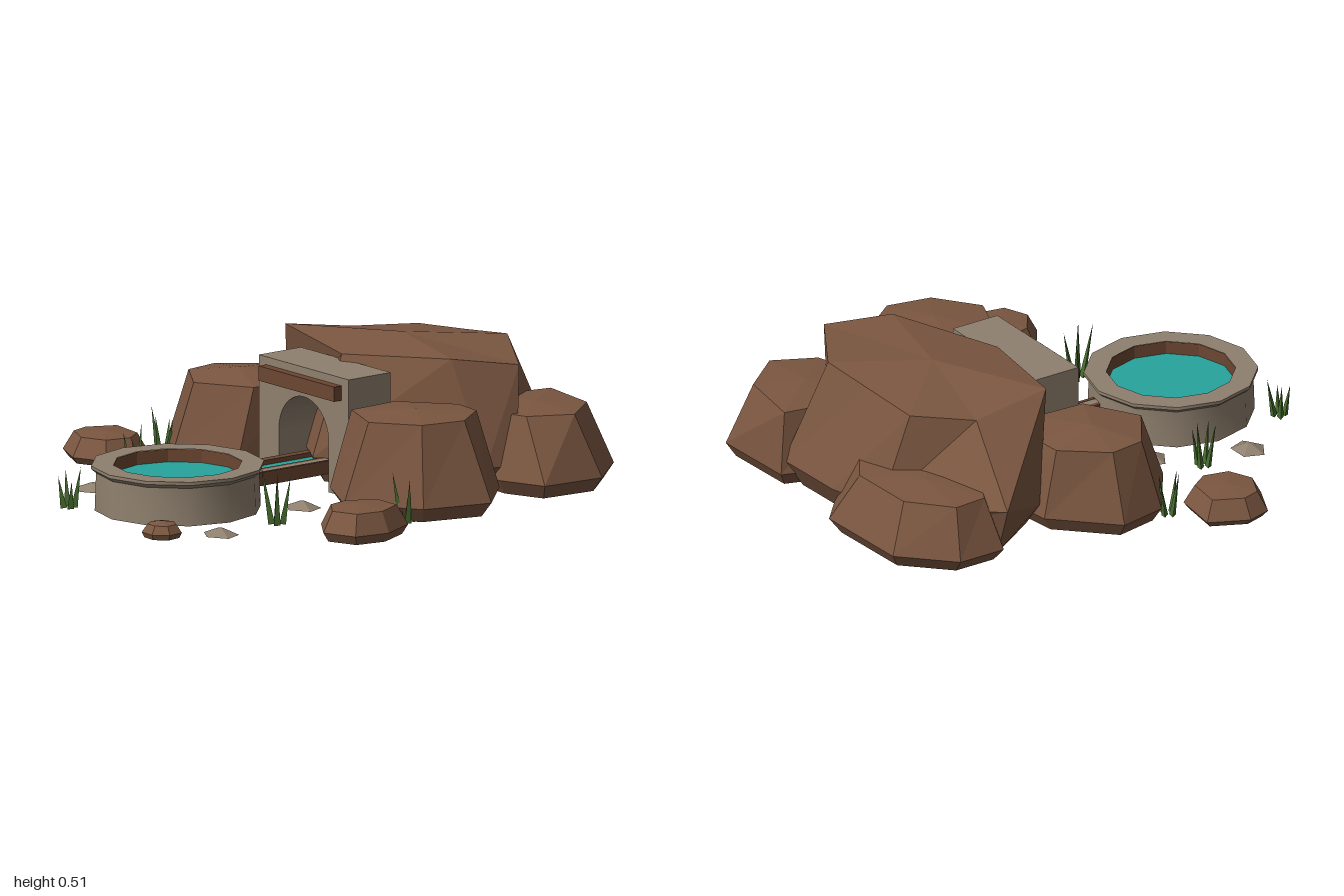
import * as THREE from 'three';
import { toCreasedNormals } from 'three/addons/utils/BufferGeometryUtils.js';

const mat = (name, color, flatShading = true, side = THREE.DoubleSide) =>
  Object.assign(new THREE.MeshStandardMaterial({ color, flatShading, side }), { name });

export function createModel() {
  const model = new THREE.Group();
  model.name = 'rockSpring';
  const rockBrown = mat('rockBrown', 0x7a5640);
  const stoneGrey = mat('stoneGrey', 0x8f806e, false);
  const woodBrown = mat('woodBrown', 0x6c4631);
  const waterTeal = mat('waterTeal', 0x27a49d, true, THREE.FrontSide);
  const grassGreen = mat('grassGreen', 0x466c2e);

  const add = (name, geo, material, x = 0, y = 0, z = 0, parent = model) => {
    const m = new THREE.Mesh(geo, material);
    m.name = name;
    m.position.set(x, y, z);
    parent.add(m);
    return m;
  };
  const box = (name, material, w, h, d, x, y, z) =>
    add(name, new THREE.BoxGeometry(w, h, d), material, x, y, z);

  // Faceted boulder shell, open below: tucked-in foot, wide ring, top ring, low peak.
  // Ring points are [x, z] or [x, z, y], running from +x towards +z.
  function boulder(name, wide, top, yWide, yTop, peak, tuck = 0.87) {
    const [cx, cz] = peak;
    const n = wide.length;
    const rings = [
      wide.map(([x, z]) => [cx + (x - cx) * tuck, 0, cz + (z - cz) * tuck]),
      wide.map(([x, z, y = yWide]) => [x, y, z]),
      top.map(([x, z, y = yTop]) => [x, y, z]),
    ];
    const p = [];
    const tri = (...c) => c.forEach((v) => p.push(...v));
    for (let i = 0; i < n; i++) {
      const j = (i + 1) % n;
      for (let r = 0; r < 2; r++) {
        const a = rings[r], b = rings[r + 1];
        tri(a[i], b[i], a[j]);
        tri(a[j], b[i], b[j]);
      }
      tri(rings[2][i], [cx, peak[2], cz], rings[2][j]);
    }
    const g = new THREE.BufferGeometry();
    g.setAttribute('position', new THREE.Float32BufferAttribute(p, 3));
    g.computeVertexNormals();
    return add(name, g, rockBrown);
  }
  // Top ring drawn in from the wide ring
  const inset = (ring, [cx, cz], k) => ring.map(([x, z]) => [cx + (x - cx) * k, cz + (z - cz) * k]);

  // Large boulder behind the arch
  boulder('mainBoulder',
    [[0.59, -0.53], [0.56, -0.41], [0.02, -0.035], [-0.53, -0.36], [-0.69, -0.61, 0.2], [-0.22, -0.85], [0, -0.91], [0.3, -0.92]],
    [[0.54, -0.58, 0.46], [0.42, -0.36], [0.02, -0.17, 0.465], [-0.41, -0.25], [-0.4, -0.55, 0.44], [-0.25, -0.74, 0.45], [0, -0.76, 0.47], [0.22, -0.78]],
    0.1, 0.49, [0, -0.47, 0.503], 0.87);

  // Flanking boulders
  boulder('frontLeftBoulder',
    [[0.855, -0.2], [0.785, 0.06], [0.535, 0.23], [0.29, 0.1], [0.28, -0.18], [0.54, -0.4], [0.67, -0.385]],
    [[0.735, -0.17], [0.7, 0.0], [0.54, 0.12], [0.34, 0.04], [0.33, -0.17], [0.51, -0.32], [0.63, -0.31]],
    0.055, 0.345, [0.54, -0.1, 0.365]);
  boulder('frontRightBoulder',
    [[-0.26, -0.18], [-0.27, 0.08], [-0.49, 0.21], [-0.73, 0.04], [-0.77, -0.15], [-0.56, -0.36], [-0.4, -0.38]],
    [[-0.27, -0.2], [-0.28, 0.0], [-0.48, 0.12], [-0.66, 0.0], [-0.68, -0.14], [-0.55, -0.3], [-0.41, -0.31]],
    0.055, 0.31, [-0.49, -0.1, 0.335]);
  boulder('backLeftBoulder',
    [[0.765, -0.52], [0.59, -0.45], [0.35, -0.47], [0.2, -0.7], [0.28, -0.945], [0.615, -0.96], [0.785, -0.77]],
    [[0.62, -0.55], [0.56, -0.53], [0.38, -0.53], [0.27, -0.7], [0.31, -0.91], [0.57, -0.87], [0.7, -0.71]],
    0.055, 0.285, [0.48, -0.7, 0.3]);
  boulder('backRightBoulder',
    [[0, -0.9], [-0.12, -0.55], [-0.4, -0.48], [-0.68, -0.62], [-0.68, -0.81], [-0.5, -0.985], [-0.11, -1]],
    [[-0.07, -0.84], [-0.17, -0.6], [-0.4, -0.55], [-0.6, -0.65], [-0.61, -0.78], [-0.46, -0.91], [-0.19, -0.92]],
    0.05, 0.235, [-0.38, -0.76, 0.25]);

  // Small boulders around the pool
  const smallRight = [[-0.615, 0.265], [-0.645, 0.395], [-0.77, 0.45], [-0.91, 0.385], [-0.94, 0.29], [-0.87, 0.145], [-0.68, 0.17]];
  boulder('smallRightBoulder', smallRight, inset(smallRight, [-0.77, 0.3], 0.74), 0.025, 0.095, [-0.77, 0.3, 0.105]);
  const smallLeft = [[0.935, 0.34], [0.91, 0.475], [0.785, 0.525], [0.665, 0.44], [0.64, 0.33], [0.715, 0.195], [0.865, 0.195]];
  boulder('smallLeftBoulder', smallLeft, inset(smallLeft, [0.785, 0.35], 0.76), 0.035, 0.11, [0.785, 0.35, 0.12]);
  const pebble = Array.from({ length: 7 }, (_, i) => {
    const a = (i / 7) * Math.PI * 2 + 0.3;
    return [0.348 + 0.076 * Math.cos(a), 0.926 + 0.074 * Math.sin(a)];
  });
  boulder('pebbleBoulder', pebble, inset(pebble, [0.348, 0.926], 0.72), 0.02, 0.05, [0.348, 0.926, 0.06]);

  // Stone arch with a wooden beam
  const arch = new THREE.Shape();
  arch.moveTo(-0.262, 0);
  arch.lineTo(-0.145, 0);
  arch.lineTo(-0.145, 0.185);
  arch.absarc(0, 0.185, 0.145, Math.PI, 0, true);
  arch.lineTo(0.145, 0);
  arch.lineTo(0.262, 0);
  arch.lineTo(0.262, 0.44);
  arch.lineTo(-0.262, 0.44);
  add('stoneArch', new THREE.ExtrudeGeometry(arch, { depth: 0.195, bevelEnabled: false, curveSegments: 12 }),
    stoneGrey, 0.018, 0, -0.19);
  box('archBeam', woodBrown, 0.44, 0.055, 0.035, 0.018, 0.383, 0.022);

  // Water channel from the arch to the pool
  box('channelFloor', woodBrown, 0.17, 0.02, 0.4, 0.015, 0.06, 0.105);
  box('channelWater', waterTeal, 0.076, 0.015, 0.4, 0.003, 0.078, 0.105);
  box('channelRightSide', woodBrown, 0.035, 0.05, 0.4, -0.0525, 0.078, 0.105);
  box('channelLeftSide', woodBrown, 0.017, 0.045, 0.4, 0.0495, 0.076, 0.105);
  box('channelStoneEdge', stoneGrey, 0.03, 0.045, 0.4, 0.073, 0.076, 0.105);
  box('channelOuterBoard', woodBrown, 0.013, 0.05, 0.4, 0.0945, 0.075, 0.105);

  // Twelve-sided pool: wall with flared rim and foot, lining, base and water
  const pool = new THREE.Group();
  pool.name = 'pool';
  pool.position.set(0.017, 0, 0.59);
  model.add(pool);
  const profile = [[0.25, 0], [0.305, 0], [0.3, 0.14], [0.318, 0.155], [0.318, 0.167], [0.236, 0.167]];
  const wall = new THREE.LatheGeometry(profile.map((q) => new THREE.Vector2(...q)), 12);
  add('poolWall', toCreasedNormals(wall, 0.6), stoneGrey, 0, 0, 0, pool);
  add('poolLining', new THREE.CylinderGeometry(0.236, 0.236, 0.16, 12, 1, true), woodBrown, 0, 0.086, 0, pool);
  add('poolBase', new THREE.CylinderGeometry(0.252, 0.252, 0.01, 12), woodBrown, 0, 0.006, 0, pool);
  add('poolWater', new THREE.CylinderGeometry(0.235, 0.235, 0.01, 12), waterTeal, 0, 0.113, 0, pool);

  // Flat stones
  [[0.3, 0.235], [-0.265, 0.305], [-0.405, 0.645], [0.455, 0.74]].forEach(([x, z]) => {
    const geo = toCreasedNormals(new THREE.CylinderGeometry(0.012, 0.075, 0.025, 5), 0.1);
    add('flatStone', geo, stoneGrey, x, 0.0125, z).scale.z = 0.85;
  });

  // Grass tufts of thin leaning blades: x, z, height
  for (const [x, z, h] of [[-0.685, 0.1, 0.18], [-0.425, 0.43, 0.2], [0.445, 0.47, 0.22], [-0.235, 0.895, 0.15], [0.71, 0.08, 0.21]]) {
    const tuft = new THREE.Group();
    tuft.name = 'grassTuft';
    tuft.position.set(x, 0, z);
    model.add(tuft);
    for (let i = 0; i < 4; i++) {
      const a = i * 1.57 + x * 5;
      const len = h * (1 - 0.1 * ((i * 3) % 4));
      const blade = new THREE.ConeGeometry(0.014, len, 3).translate(0, len / 2, 0);
      const m = add('grassBlade', blade, grassGreen, Math.cos(a) * 0.02, 0, Math.sin(a) * 0.02, tuft);
      m.rotation.set(Math.sin(a) * 0.17, 0, -Math.cos(a) * 0.17);
    }
  }
  return model;
}
